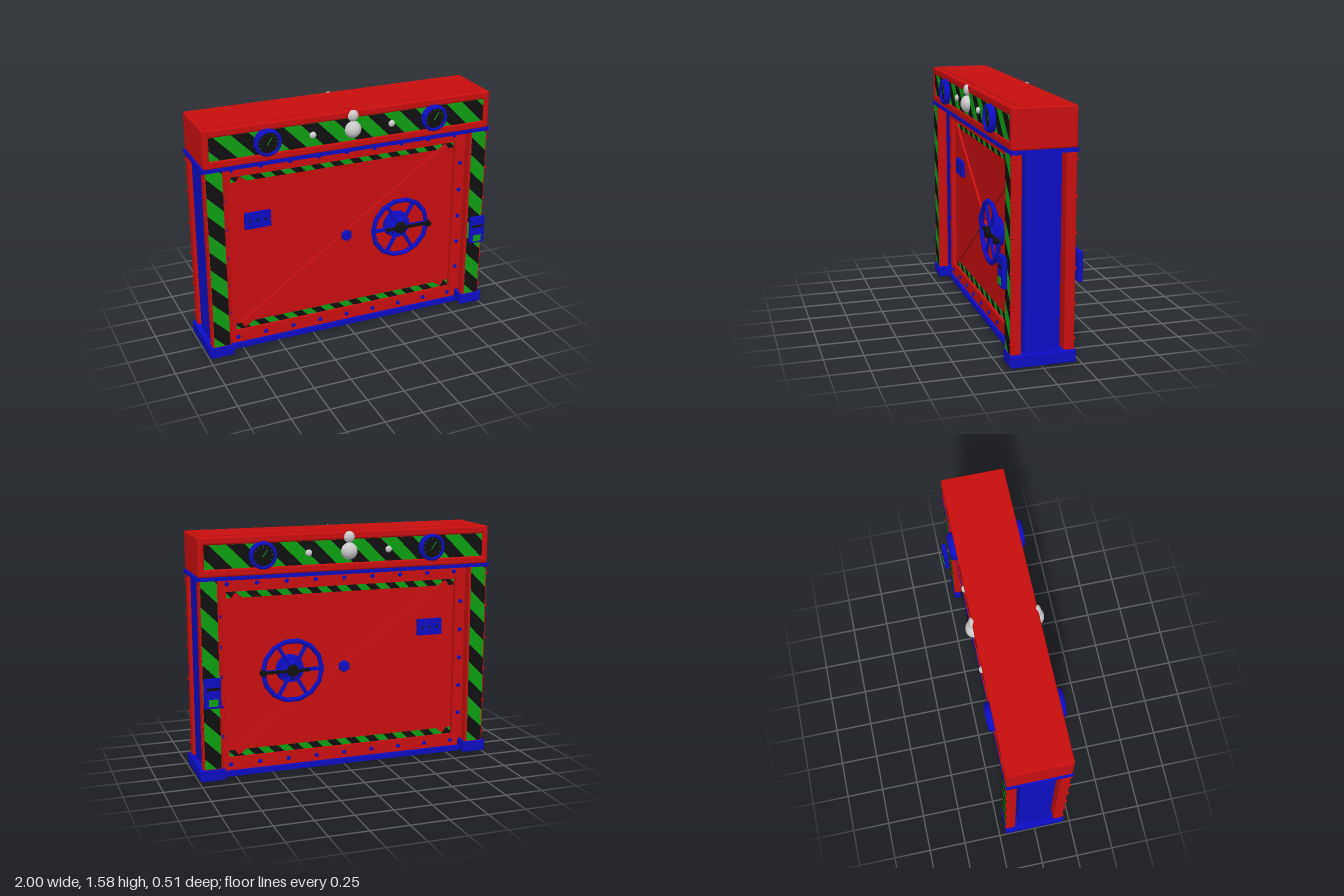
import * as THREE from 'three';
import { RoundedBoxGeometry } from 'three/addons/geometries/RoundedBoxGeometry.js';

const mat = (color) => new THREE.MeshStandardMaterial({ color });
const red = mat(0xc80e0e), blue = mat(0x0d0dc4), green = mat(0x0f9f12), black = mat(0x101010), grey = mat(0xcccccc);

function add(parent, name, geo, material, x = 0, y = 0, z = 0) {
  const m = new THREE.Mesh(geo, material);
  m.name = name;
  m.position.set(x, y, z);
  parent.add(m);
  return m;
}

// Box given by its limits; r rounds the edges
function box(parent, name, material, x0, x1, y0, y1, z0, z1, r = 0) {
  const s = [Math.abs(x1 - x0), y1 - y0, z1 - z0];
  const geo = r ? new RoundedBoxGeometry(...s, 2, r) : new THREE.BoxGeometry(...s);
  return add(parent, name, geo, material, (x0 + x1) / 2, (y0 + y1) / 2, (z0 + z1) / 2);
}

// Disc facing +z
function disc(parent, name, material, rFront, rBack, depth, sides, x, y, z) {
  const geo = new THREE.CylinderGeometry(rFront, rBack, depth, sides).rotateX(Math.PI / 2);
  return add(parent, name, geo, material, x, y, z + depth / 2);
}

// Flat rectangular frame with an opening, extruded along +z
function frameGeo(x, y0, y1, hx, hy0, hy1, depth) {
  const rect = (T, w, a, b) => new T([[-w, a], [w, a], [w, b], [-w, b]].map((p) => new THREE.Vector2(...p)));
  const s = rect(THREE.Shape, x, y0, y1);
  s.holes.push(rect(THREE.Path, hx, hy0, hy1));
  return new THREE.ExtrudeGeometry(s, { depth, bevelEnabled: false });
}

// Keep the part of a polygon where f >= 0
function clip(poly, f) {
  const out = [];
  poly.forEach((a, i) => {
    const b = poly[(i + 1) % poly.length], fa = f(a), fb = f(b);
    if (fa >= 0) out.push(a);
    if (fa * fb < 0) out.push(a.clone().lerp(b, fa / (fa - fb)));
  });
  return out;
}

// Green panel with slanted black bars
function hazard(parent, name, w, h, period, x, y, z) {
  const g = new THREE.Group();
  g.name = name;
  g.position.set(x, y, z);
  parent.add(g);
  add(g, 'greenPanel', new THREE.PlaneGeometry(w, h), green);
  const rect = [[-1, -1], [1, -1], [1, 1], [-1, 1]].map(([a, b]) => new THREE.Vector2(a * w / 2, b * h / 2));
  const shapes = [], reach = (w + h) / 2;
  for (let c = -reach + period * 0.3; c < reach; c += period) {
    let p = clip(rect, (v) => v.x + v.y - c);
    p = clip(p, (v) => c + period / 2 - v.x - v.y);
    if (p.length > 2) shapes.push(new THREE.Shape(p));
  }
  add(g, 'blackBars', new THREE.ShapeGeometry(shapes), black, 0, 0, 0.002);
}

function handWheel(parent, x, y) {
  const g = new THREE.Group();
  g.name = 'handWheel';
  g.position.set(x, y, 0);
  parent.add(g);
  disc(g, 'hubBase', blue, 0.085, 0.095, 0.045, 16, 0, 0, 0.085);
  disc(g, 'hubCone', blue, 0.045, 0.07, 0.03, 12, 0, 0, 0.13);
  disc(g, 'hubCap', black, 0.036, 0.044, 0.03, 8, 0, 0, 0.155);
  add(g, 'rim', new THREE.TorusGeometry(0.198, 0.016, 8, 14), blue, 0, 0, 0.155);
  for (let i = 0; i < 6; i++) {
    const spoke = add(g, 'spoke', new THREE.BoxGeometry(0.17, 0.022, 0.016).translate(0.11, 0, 0), blue, 0, 0, 0.152);
    spoke.rotation.z = i * Math.PI / 3;
  }
  const dir = Math.sign(x);
  box(g, 'crankArm', black, -0.11 * dir, 0.2 * dir, -0.009, 0.009, 0.16, 0.175);
  disc(g, 'crankKnob', black, 0.02, 0.022, 0.035, 10, 0.2 * dir, 0, 0.155);
}

function gauge(parent, x, y) {
  const g = new THREE.Group();
  g.name = 'gauge';
  g.position.set(x, y, 0.19);
  parent.add(g);
  const ring = [[0.088, 0], [0.088, 0.03], [0.08, 0.045], [0.068, 0.045], [0.066, 0.025]].map((p) => new THREE.Vector2(...p));
  const m = add(g, 'ring', new THREE.LatheGeometry(ring, 28).rotateX(Math.PI / 2), blue);
  m.material = blue.clone();
  m.material.side = THREE.DoubleSide;
  disc(g, 'dial', black, 0.068, 0.068, 0.03, 28, 0, 0, 0);
  const needle = add(g, 'needle', new THREE.BoxGeometry(0.004, 0.06, 0.004), green, 0.009, 0.012, 0.033);
  needle.rotation.z = -0.6;
  for (let i = 0; i < 9; i++) {
    const a = -0.5 + i * 0.52;
    const t = add(g, 'tick', new THREE.BoxGeometry(0.01, 0.0025, 0.002), green, Math.cos(a) * 0.056, Math.sin(a) * 0.056, 0.031);
    t.rotation.z = a;
  }
}

function lamp(parent, r, depth, x, y) {
  const geo = new THREE.SphereGeometry(r, 18, 12).scale(1, 1, depth / r);
  add(parent, 'lamp', geo, grey, x, y, 0.2);
}

// Everything on one face; m = -1 swaps the sides for the rear
function buildFace(m) {
  const g = new THREE.Group();
  g.name = m > 0 ? 'frontFace' : 'rearFace';

  // Bolted surround
  add(g, 'surround', frameGeo(0.87, 0.045, 1.31, 0.795, 0.13, 1.22, 0.025), red, 0, 0, 0.084);
  for (let i = -4; i <= 4; i++)
    for (const y of [0.085, 1.27]) disc(g, 'surroundBolt', blue, 0.012, 0.015, 0.01, 8, i * 0.195, y, 0.109);
  for (const s of [-1, 1]) {
    for (let i = 0; i < 5; i++) disc(g, 'surroundBolt', blue, 0.012, 0.015, 0.01, 8, s * 0.834, 0.28 + i * 0.196, 0.109);
    box(g, 'surroundLip', red, s * 0.79, s * 0.815, 0.13, 1.22, 0.085, 0.117);
  }

  // Door strips, braces and fittings
  for (const y of [0.152, 1.198]) hazard(g, 'doorStripes', 1.58, 0.044, 0.135, 0, y, 0.088);
  for (const s of [-1, 1]) {
    const brace = add(g, 'crossBrace', new THREE.BoxGeometry(1.8, 0.05, 0.018), red, 0, 0.677, 0.093 + s * 0.001);
    brace.rotation.z = s * Math.atan2(1.03, 1.48);
    brace.rotation.z *= 1.0;
  }
  disc(g, 'braceBoss', blue, 0.036, 0.042, 0.02, 6, 0, 0.677, 0.1);
  handWheel(g, m * 0.37, 0.69);
  box(g, 'doorPlate', blue, m * -0.7, m * -0.525, 0.845, 0.955, 0.085, 0.105);
  for (const x of [-0.665, -0.612, -0.56]) disc(g, 'plateBolt', black, 0.007, 0.009, 0.006, 8, m * x, 0.9, 0.105);

  // Columns with stripes and edge bolts
  for (const s of [-1, 1]) {
    box(g, 'column', red, s * 0.85, s * 0.98, 0.015, 1.31, 0.135, 0.2, 0.008);
    hazard(g, 'columnStripes', 0.106, 1.21, 0.245, s * 0.917, 0.703, 0.201);
    for (let i = 0; i < 6; i++)
      add(g, 'columnBolt', new THREE.SphereGeometry(0.011, 8, 6), red, s * 0.976, 0.16 + i * 0.22, 0.197);
  }

  // Control box
  box(g, 'controlBox', blue, m * 0.865, m * 0.972, 0.51, 0.7, 0.22, 0.25, 0.005);
  box(g, 'controlSlot', black, m * 0.875, m * 0.955, 0.627, 0.645, 0.24, 0.252);
  box(g, 'controlScreen', green, m * 0.885, m * 0.945, 0.525, 0.57, 0.24, 0.253);

  // Header panel, gauges and lamps
  hazard(g, 'headerStripes', 1.88, 0.15, 0.225, 0, 1.455, 0.195);
  for (const s of [-1, 1]) {
    gauge(g, s * 0.57, 1.455);
    lamp(g, 0.022, 0.016, s * 0.27, 1.455);
  }
  lamp(g, 0.055, 0.045, 0, 1.455);
  lamp(g, 0.037, 0.025, 0, 1.545);
  return g;
}

export function createModel() {
  const model = new THREE.Group();
  model.name = 'bulkheadDoor';

  // Header housing: rounded bands around the sunk striped panels
  box(model, 'headerCore', red, -0.95, 0.95, 1.36, 1.55, -0.19, 0.19);
  for (const [a, b] of [[1.33, 1.38], [1.53, 1.58]]) box(model, 'headerBand', red, -0.98, 0.98, a, b, -0.203, 0.203, 0.012);
  for (const s of [-1, 1]) box(model, 'headerEnd', red, s * 0.94, s * 0.98, 1.335, 1.575, -0.202, 0.202, 0.01);
  box(model, 'headerLid', red, -0.95, 0.95, 1.57, 1.584, -0.16, 0.16);
  box(model, 'headerFlange', blue, -0.99, 0.99, 1.308, 1.33, -0.205, 0.205);

  // Door slab, end posts, sill and feet
  box(model, 'doorSlab', red, -0.88, 0.88, 0.04, 1.31, -0.086, 0.086);
  box(model, 'sill', blue, -0.845, 0.845, 0.01, 0.045, -0.13, 0.13);
  box(model, 'sillKeel', blue, -0.84, 0.84, 0, 0.012, -0.04, 0.04);
  for (const s of [-1, 1]) {
    box(model, 'endPost', blue, s * 0.87, s * 0.965, 0.05, 1.31, -0.11, 0.11);
    box(model, 'foot', blue, s * 0.838, s * 1, 0.017, 0.095, -0.206, 0.206, 0.008);
  }

  // Same fittings on both faces
  model.add(buildFace(1));
  const rear = buildFace(-1);
  rear.rotation.y = Math.PI;
  model.add(rear);
  return model;
}
